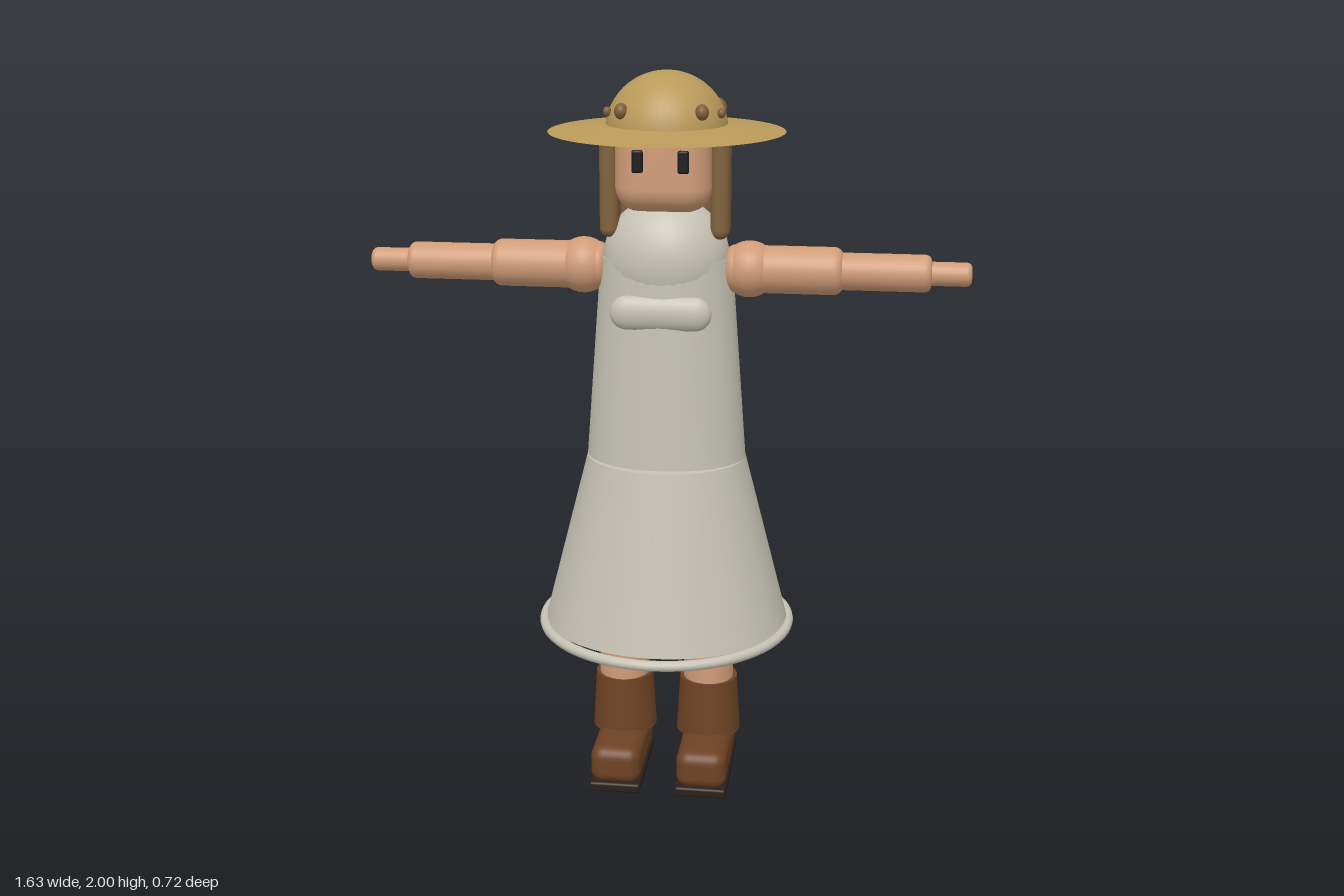
import * as THREE from 'three';
import { RoundedBoxGeometry } from 'three/addons/geometries/RoundedBoxGeometry.js';

const mat = (color, side = THREE.FrontSide) => new THREE.MeshStandardMaterial({ color, side });

export function createModel() {
  const model = new THREE.Group();
  const skin = mat(0xd09c78), dress = mat(0xc6c2b4), hair = mat(0x80623c);
  const straw = mat(0xb99a5a, THREE.DoubleSide), trim = mat(0x80623c);
  const leather = mat(0x6e4224), soleMat = mat(0x2c2019), black = mat(0x1c1a1a);

  const add = (name, geometry, material, x = 0, y = 0, z = 0) => {
    const mesh = new THREE.Mesh(geometry, material);
    mesh.name = name;
    mesh.position.set(x, y, z);
    model.add(mesh);
    return mesh;
  };
  const box = (w, h, d, r) => new RoundedBoxGeometry(w, h, d, 4, r);
  const ball = (r) => new THREE.SphereGeometry(r, 32, 20);
  // Cylinder lying or standing with softly rounded rims
  const softCylinder = (r, length, bevel) => {
    const h = length / 2, points = [new THREE.Vector2(0, -h)];
    for (let i = 0; i <= 5; i++) {
      const a = (i / 5) * Math.PI / 2;
      points.push(new THREE.Vector2(r - bevel + bevel * Math.sin(a), -h + bevel - bevel * Math.cos(a)));
    }
    const top = points.slice().reverse().map((p) => new THREE.Vector2(p.x, -p.y));
    return new THREE.LatheGeometry([...points, ...top], 32);
  };

  // Dress: oval skirt and bodice, round shoulders, hem ring, chest pocket
  add('skirt', new THREE.CylinderGeometry(0.22, 0.345, 0.49, 48), dress, 0, 0.705).scale.z = 0.875;
  add('bodice', new THREE.CylinderGeometry(0.178, 0.22, 0.56, 48), dress, 0, 1.23).scale.z = 0.75;
  add('shoulders', ball(1), dress, 0, 1.5, 0).scale.set(0.172, 0.17, 0.142);
  const hem = add('hem', new THREE.TorusGeometry(0.347, 0.0145, 12, 64), dress, 0, 0.46);
  hem.rotation.x = Math.PI / 2;
  const pocket = add('pocket', new THREE.CapsuleGeometry(0.046, 0.18, 10, 24), dress, 0, 1.378, 0.127);
  pocket.rotation.z = Math.PI / 2;
  pocket.scale.z = 0.6;

  // Head and eyes
  add('head', box(0.255, 0.29, 0.25, 0.065), skin, 0, 1.785, 0.005);
  for (const s of [-1, 1]) {
    add('eye', box(0.03, 0.06, 0.014, 0.0065), black, s * 0.06, 1.78, 0.129);
  }

  // Back hair, thinner towards the bottom
  const backGeo = box(0.33, 0.42, 0.125, 0.05);
  const p = backGeo.attributes.position;
  for (let i = 0; i < p.count; i++) {
    const t = 0.5 - p.getY(i) / 0.42;
    const z = p.getZ(i);
    p.setX(i, p.getX(i) * (1 - 0.1 * t));
    p.setZ(i, -0.0625 + (z + 0.0625) * (1 - 0.35 * t));
    p.setY(i, p.getY(i) + 0.25 * (z + 0.0625) * t);
  }
  backGeo.computeVertexNormals();
  add('backHair', backGeo, hair, 0, 1.645, -0.1);

  // Hat: shallow brim cone and dome
  const brim = [[0.315, 1.842], [0.24, 1.85], [0.155, 1.863]].map(([x, y]) => new THREE.Vector2(x, y));
  add('hatBrim', new THREE.LatheGeometry(brim, 64), straw, 0, 0, -0.005);
  const dome = new THREE.SphereGeometry(0.163, 40, 16, 0, Math.PI * 2, 0, Math.PI / 2);
  add('hatDome', dome, straw, 0, 1.842, -0.005).scale.y = 0.97;

  for (const s of [-1, 1]) {
    // Hat ornaments
    for (const [x, y, z, r] of [[0.127, 1.892, -0.085, 0.029], [0.105, 1.905, 0.105, 0.021], [0.15, 1.897, 0.05, 0.013]]) {
      add('hatOrnament', ball(r), trim, s * x, y, z).scale.x = 0.85;
    }
    // Side lock
    add('sideHair', box(0.05, 0.29, 0.095, 0.024), hair, s * 0.148, 1.71, 0.023);

    // Arm in stepped sections
    add('shoulder', ball(0.076), skin, s * 0.225, 1.478);
    for (const [name, from, to, r, bevel] of [
      ['upperArm', 0.16, 0.475, 0.064, 0.025],
      ['forearm', 0.42, 0.708, 0.05, 0.018],
      ['hand', 0.66, 0.814, 0.032, 0.015],
    ]) {
      const part = add(name, softCylinder(r, to - from, bevel), skin, s * (from + to) / 2, 1.478);
      part.rotation.z = Math.PI / 2;
    }

    // Leg, boot shaft, shoe and sole
    add('leg', softCylinder(0.071, 0.36, 0.03), skin, s * 0.122, 0.275);
    add('bootShaft', new THREE.CylinderGeometry(0.082, 0.092, 0.165, 32), leather, s * 0.122, 0.202, -0.004);
    add('shoe', box(0.142, 0.11, 0.315, 0.035), leather, s * 0.122, 0.075, 0.055);
    add('sole', box(0.146, 0.028, 0.325, 0.008), soleMat, s * 0.122, 0.014, 0.054);
  }
  return model;
}
